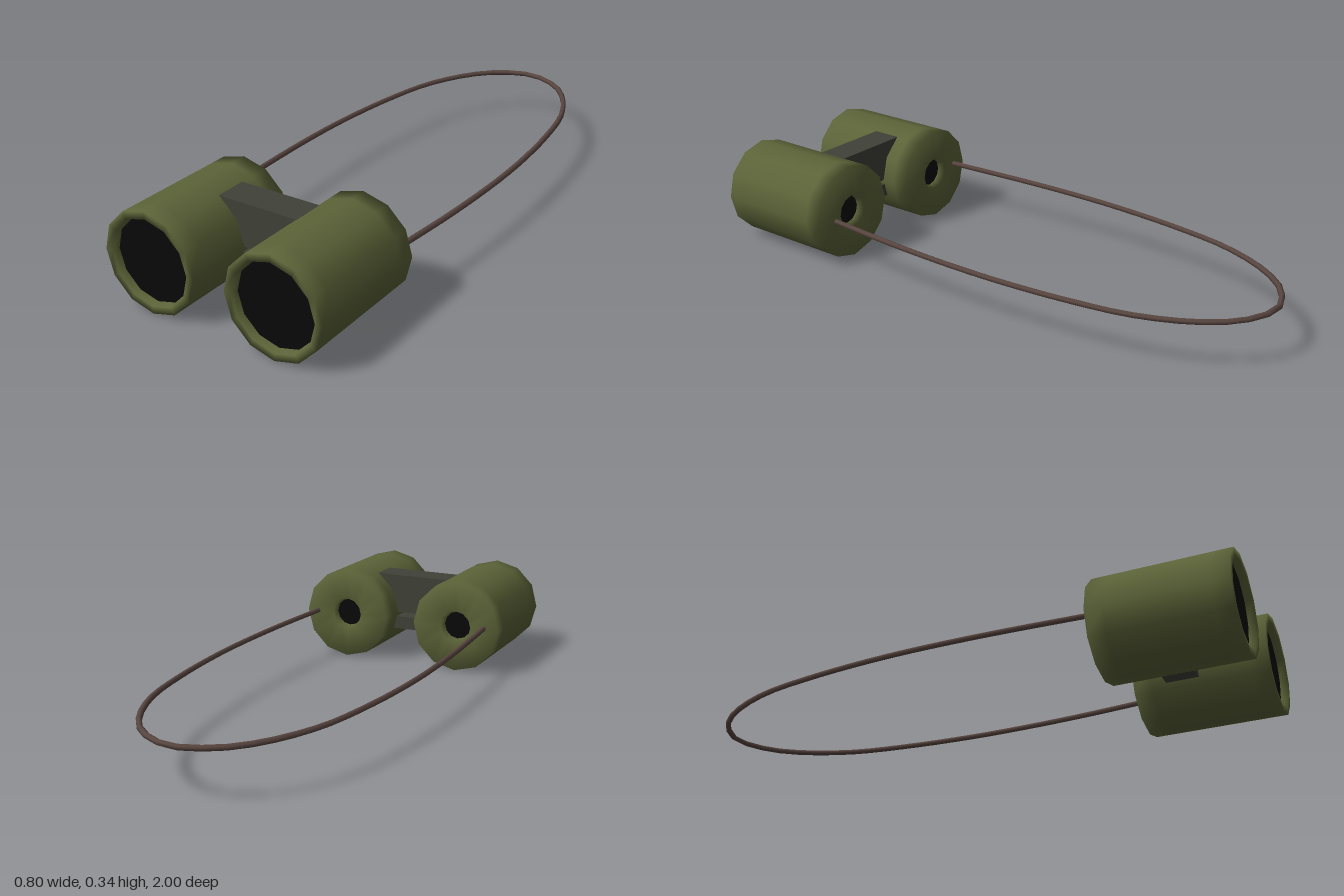
import * as THREE from 'three';

const BACK = 0.55, FRONT = 1.0, AXIS_X = 0.228, AXIS_Y = 0.171, R = 0.171;

const material = (color, side = THREE.FrontSide) => new THREE.MeshStandardMaterial({ color, side });

function addMesh(parent, name, geometry, mat) {
  const mesh = new THREE.Mesh(geometry, mat);
  mesh.name = name;
  parent.add(mesh);
  return mesh;
}

export function createModel() {
  const model = new THREE.Group();
  model.name = 'binoculars';
  const green = material(0x5c6338, THREE.DoubleSide);
  const glass = material(0x080808);
  const dark = material(0x404238);
  const brown = material(0x594640);

  // Barrel profile: eyepiece recess, back face, wall, front rim, lens recess
  const profile = [
    [0.052, BACK + 0.03], [0.06, BACK], [R, BACK], [R, BACK + 0.06],
    [R, FRONT - 0.06], [R, FRONT], [0.146, FRONT], [0.14, FRONT - 0.025],
  ].map(([r, z]) => new THREE.Vector2(r, z));
  const barrelGeometry = new THREE.LatheGeometry(profile, 12).rotateX(Math.PI / 2);

  for (const [side, sign] of [['left', 1], ['right', -1]]) {
    const tube = new THREE.Group();
    tube.name = side + 'Tube';
    tube.position.set(sign * AXIS_X, AXIS_Y, 0);
    addMesh(tube, side + 'Barrel', barrelGeometry, green);
    addMesh(tube, side + 'FrontLens', new THREE.CircleGeometry(0.141, 12), glass).position.z = FRONT - 0.024;
    const eyepiece = addMesh(tube, side + 'Eyepiece', new THREE.CircleGeometry(0.054, 12), glass);
    eyepiece.rotation.y = Math.PI;
    eyepiece.position.z = BACK + 0.028;
    model.add(tube);
  }

  // Two crossbars between the barrels
  for (const [name, y0, y1] of [['upperBridge', 0.172, 0.32], ['lowerBridge', 0.105, 0.154]]) {
    const bar = addMesh(model, name, new THREE.BoxGeometry(0.32, y1 - y0, 0.11), dark);
    bar.position.set(0, (y0 + y1) / 2, 0.715);
  }

  // Neck strap: one long loop behind the barrels
  const half = [[0.367, 0], [0.362, -0.2], [0.338, -0.45], [0.295, -0.67], [0.21, -0.85], [0.12, -0.945]];
  const path = [
    [-0.34, 0.56], [-0.36, 0.25],
    ...half.map(([x, z]) => [-x, z]), [0, -0.99], ...half.slice().reverse(),
    [0.36, 0.25], [0.34, 0.52],
  ].map(([x, z]) => new THREE.Vector3(x, 0.174 + 0.006 * z, z));
  const curve = new THREE.CatmullRomCurve3(path);
  addMesh(model, 'neckStrap', new THREE.TubeGeometry(curve, 48, 0.01, 6), brown);

  // Flat ends of the strap
  for (const [name, t, dir] of [['strapEndRight', 0, -1], ['strapEndLeft', 1, 1]]) {
    const cap = addMesh(model, name, new THREE.CircleGeometry(0.01, 6), brown);
    cap.position.copy(curve.getPoint(t));
    cap.lookAt(curve.getTangent(t).multiplyScalar(dir).add(cap.position));
  }
  return model;
}
